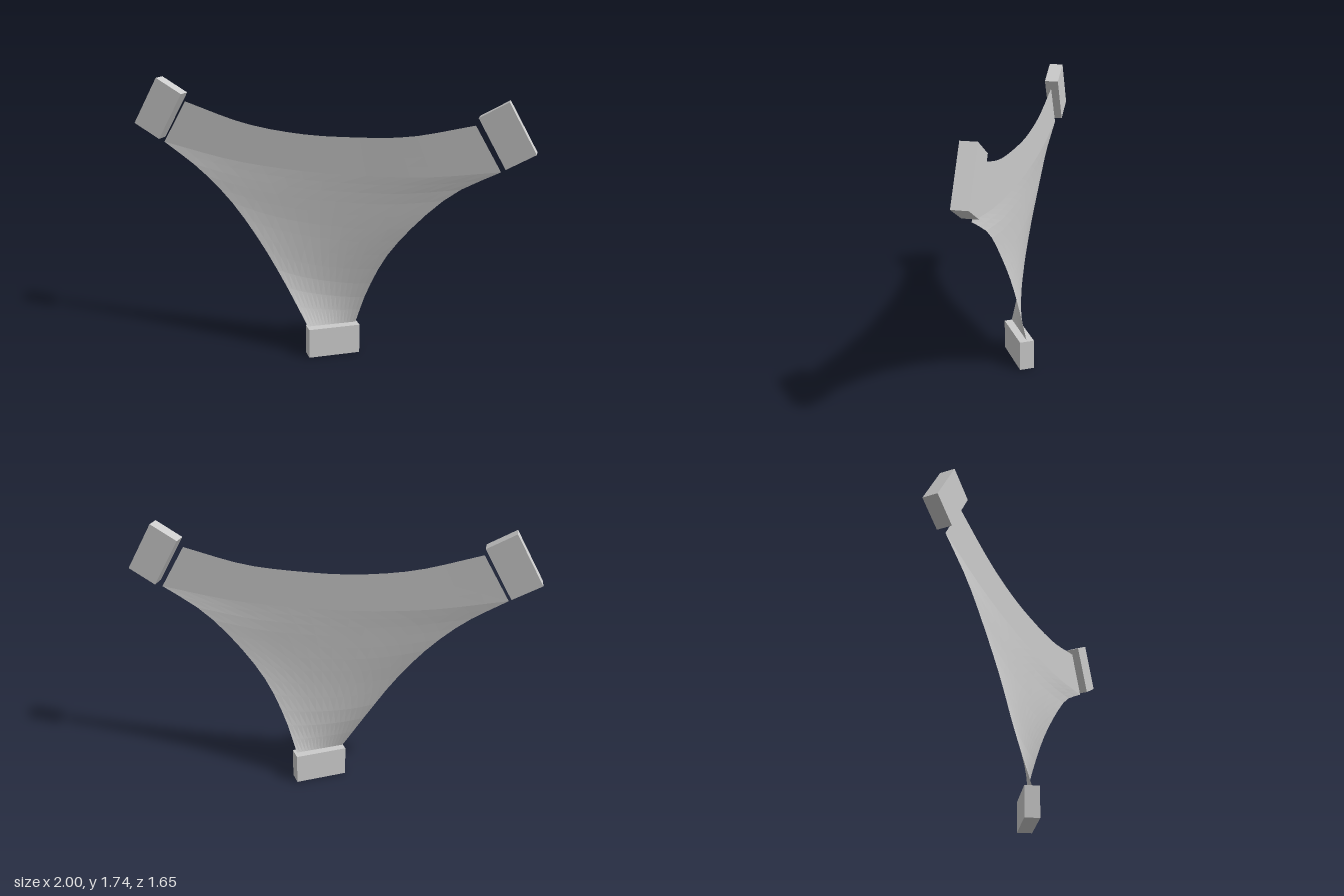
import * as THREE from 'three';

const V = (x, y, z) => new THREE.Vector3(x, y, z);
const material = (options = {}) => new THREE.MeshStandardMaterial({ color: 0xcccccc, ...options });

// Rectangular anchor block, oriented by its long axis and its axis toward the sail
function anchor(name, center, longAxis, shortAxis) {
  const x = longAxis.normalize();
  const z = x.clone().cross(shortAxis).normalize();
  const y = z.clone().cross(x);
  const mesh = new THREE.Mesh(new THREE.BoxGeometry(0.335, 0.192, 0.092), material({ flatShading: true }));
  mesh.quaternion.setFromRotationMatrix(new THREE.Matrix4().makeBasis(x, y, z));
  mesh.position.copy(center);
  mesh.name = name;
  return mesh;
}

// Side of the sail: curved free edge from the base, then the straight clamped edge
function sidePoints(points, top, curveSteps, edgeSteps) {
  const out = new THREE.CatmullRomCurve3(points).getPoints(curveSteps);
  const corner = points[points.length - 1];
  for (let i = 1; i <= edgeSteps; i++) out.push(corner.clone().lerp(top, i / edgeSteps));
  return out;
}

// Tensioned membrane blended between its boundary curves
function sailGeometry() {
  const cols = 16, curveSteps = 12, edgeSteps = 4, rows = curveSteps + edgeSteps;
  const topLeft = V(-0.707, 1.595, 0.573), topRight = V(0.7, 1.525, -0.57);
  const left = sidePoints([
    V(-0.015, 0.196, 0.118), V(-0.17, 0.48, 0.2), V(-0.31, 0.74, 0.295),
    V(-0.47, 0.98, 0.405), V(-0.635, 1.17, 0.53), V(-0.83, 1.33, 0.672),
  ], topLeft, curveSteps, edgeSteps);
  const right = sidePoints([
    V(0.095, 0.196, -0.18), V(0.17, 0.42, -0.21), V(0.28, 0.67, -0.27),
    V(0.425, 0.895, -0.37), V(0.605, 1.11, -0.51), V(0.82, 1.26, -0.67),
  ], topRight, curveSteps, edgeSteps);
  const top = new THREE.CatmullRomCurve3([
    topLeft, V(-0.4, 1.475, 0.325), V(-0.12, 1.425, 0.095),
    V(0.12, 1.42, -0.1), V(0.4, 1.44, -0.325), topRight,
  ]).getSpacedPoints(cols);

  const positions = [], index = [];
  for (let r = 0; r <= rows; r++) {
    for (let c = 0; c <= cols; c++) {
      const s = c / cols;
      const sag = top[c].clone().sub(topLeft.clone().lerp(topRight, s));
      const p = left[r].clone().lerp(right[r], s).addScaledVector(sag, r / rows);
      positions.push(p.x, p.y, p.z);
      if (r < rows && c < cols) {
        const a = r * (cols + 1) + c, d = a + cols + 1;
        index.push(a, a + 1, d + 1, a, d + 1, d);
      }
    }
  }
  const geometry = new THREE.BufferGeometry();
  geometry.setAttribute('position', new THREE.Float32BufferAttribute(positions, 3));
  geometry.setIndex(index);
  geometry.computeVertexNormals();
  return geometry;
}

export function createModel() {
  const group = new THREE.Group();
  group.name = 'tensionedSail';

  const sail = new THREE.Mesh(sailGeometry(), material({ side: THREE.DoubleSide, flatShading: true }));
  sail.name = 'membrane';

  group.add(
    sail,
    anchor('baseAnchor', V(0.043, 0.096, -0.035), V(0.112, 0, -0.31), V(0, 1, 0)),
    anchor('upperRightAnchor', V(-0.84, 1.548, 0.68), V(0.13, 0.29, -0.105), V(0.13, -0.095, -0.105)),
    anchor('upperLeftAnchor', V(0.84, 1.478, -0.688), V(-0.13, 0.29, 0.105), V(0.13, 0.095, -0.105)),
  );
  return group;
}
